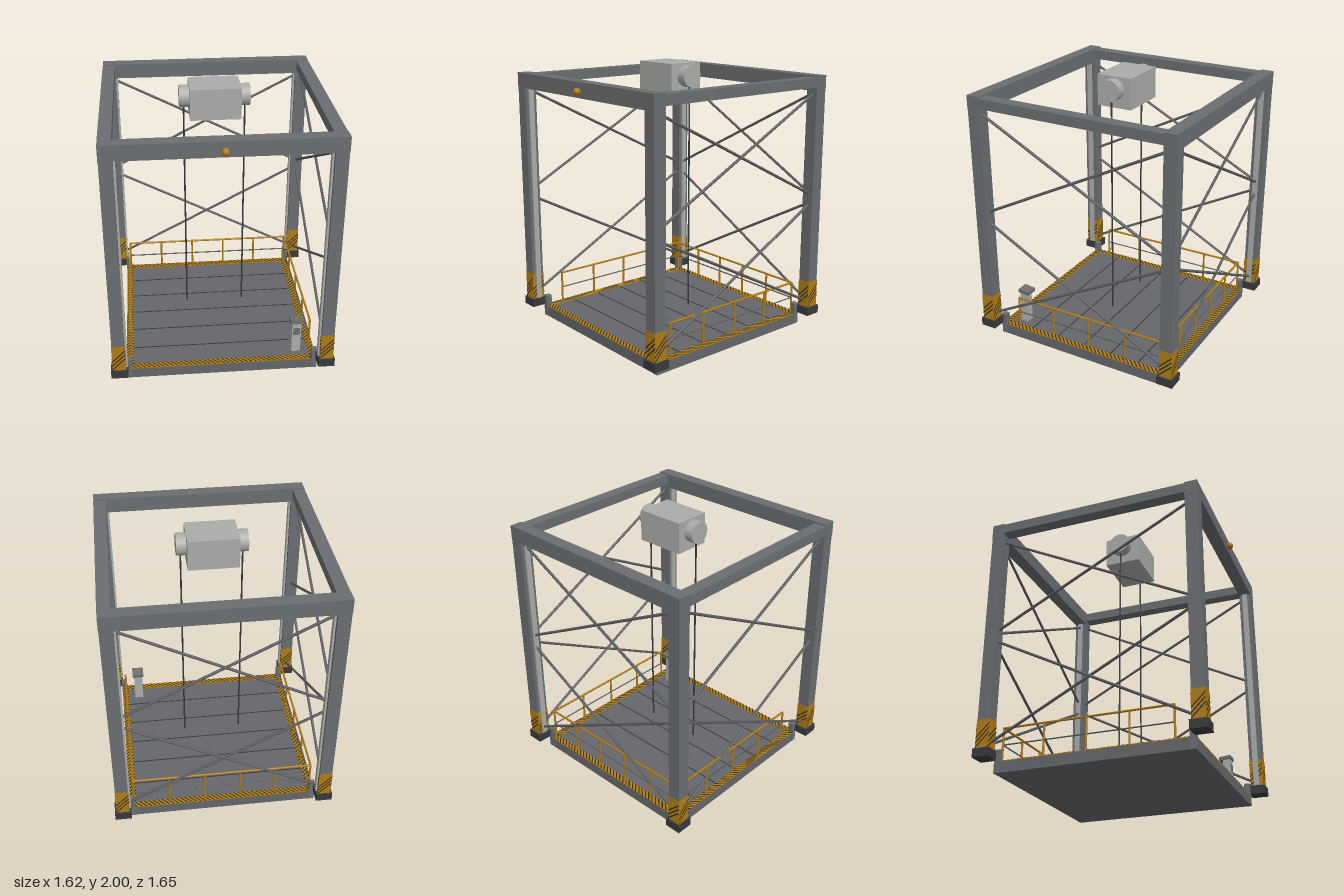
import * as THREE from 'three';

const mat = (name, color, side = THREE.FrontSide) => {
  const m = new THREE.MeshStandardMaterial({ color, side });
  m.name = name;
  return m;
};

export function createModel() {
  const steel = mat('steel grey', 0x6a6e71);
  const deckGrey = mat('deck grey', 0x64676a);
  const braceGrey = mat('brace grey', 0x5c5e63);
  const light = mat('light grey', 0xa9aca9);
  const dark = mat('dark grey', 0x37393c);
  const amber = mat('hazard amber', 0xb07c14);
  const black = mat('stripe black', 0x2c2a26, THREE.DoubleSide);

  const model = new THREE.Group();
  model.name = 'platformLift';
  const body = new THREE.Group();
  body.name = 'liftBody';
  body.position.z = -0.015; // the front lamp sticks out past the frame
  model.add(body);

  const add = (name, geo, material, x = 0, y = 0, z = 0) => {
    const m = new THREE.Mesh(geo, material);
    m.name = name;
    m.position.set(x, y, z);
    body.add(m);
    return m;
  };
  // Box given by its size and centre
  const box = (name, material, w, h, d, x, y, z) =>
    add(name, new THREE.BoxGeometry(w, h, d), material, x, y, z);

  // Round bar between two points
  const bar = (name, material, a, b, r, sides = 8) => {
    const p = new THREE.Vector3(...a), q = new THREE.Vector3(...b);
    const dir = q.clone().sub(p);
    const m = add(name, new THREE.CylinderGeometry(r, r, dir.length(), sides), material);
    m.position.copy(p).add(q).multiplyScalar(0.5);
    m.quaternion.setFromUnitVectors(new THREE.Vector3(0, 1, 0), dir.normalize());
    return m;
  };

  // Diagonal hazard stripes on a flat strip, length along y
  const stripes = (width, length) => {
    const shapes = [], pitch = 0.034, t = 0.012, w = width / 2;
    for (let y = -length / 2; y + width + t <= length / 2; y += pitch) {
      shapes.push(new THREE.Shape([
        new THREE.Vector2(-w, y), new THREE.Vector2(w, y + width),
        new THREE.Vector2(w, y + width + t), new THREE.Vector2(-w, y + t),
      ]));
    }
    return new THREE.ShapeGeometry(shapes);
  };

  // Columns with feet, painted sleeves and guide rails
  const C = 0.75;
  const sleeveStripes = stripes(0.096, 0.2);
  for (const sx of [-1, 1]) {
    for (const sz of [-1, 1]) {
      const x = sx * C, z = sz * C;
      box('column', steel, 0.092, 1.77, 0.092, x, 1.025, z);
      box('columnFoot', dark, 0.12, 0.062, 0.12, x, 0.121, z);
      box('columnSleeve', amber, 0.096, 0.205, 0.096, x, 0.2545, z);
      box('guideRail', light, 0.016, 1.65, 0.04, sx * 0.698, 0.98, z);
      for (let k = 0; k < 4; k++) {
        const a = k * Math.PI / 2;
        const s = add('sleeveStripes', sleeveStripes, black,
          x + Math.sin(a) * 0.0495, 0.2545, z + Math.cos(a) * 0.0495);
        s.rotation.y = a;
      }
    }
  }

  // Top beams
  for (const s of [-1, 1]) {
    box('crossBeam', steel, 1.596, 0.11, 0.094, 0, 1.855, s * C);
    box('sideBeam', steel, 0.09, 0.072, 1.41, s * 0.755, 1.864, 0);
  }

  // Crossed bracing on the back and both sides
  for (const [yc, h] of [[1.406, 0.386], [0.575, 0.395]]) {
    for (const s of [-1, 1]) {
      bar('backBrace', braceGrey, [-C, yc - s * h, -C], [C, yc + s * h, -C], 0.01);
      for (const sx of [-1, 1]) {
        bar('sideBrace', braceGrey, [sx * C, yc - s * h, -C], [sx * C, yc + s * h, C], 0.01);
      }
    }
  }

  // Platform deck with plank seams and corner guide blocks
  box('platform', deckGrey, 1.4, 0.078, 1.4, 0, 0.039, 0);
  for (let i = -2; i <= 2; i++) {
    box('plankSeam', dark, 1.3, 0.003, 0.008, 0, 0.079, i * 0.228);
  }
  for (const sx of [-1, 1]) {
    for (const sz of [-1, 1]) {
      box('cornerBlock', steel, 0.042, 0.164, 0.042, sx * 0.681, 0.082, sz * 0.681);
    }
  }

  // Painted border around the deck
  const borderStripes = stripes(0.052, 1.4);
  for (let k = 0; k < 4; k++) {
    const a = k * Math.PI / 2;
    const x = Math.sin(a) * 0.674, z = Math.cos(a) * 0.674;
    const along = k % 2 === 0;
    box('deckBorder', amber, along ? 1.4 : 0.052, 0.006, along ? 0.052 : 1.4, x, 0.081, z);
    const s = add('borderStripes', borderStripes, black, x, 0.0855, z);
    s.rotation.set(-Math.PI / 2, 0, along ? Math.PI / 2 : 0);
  }

  // Guard rails on the back and sides, front left open
  const R = 0.664, front = 0.555;
  const railing = (a, b, posts) => {
    bar('topRail', amber, [a[0], 0.325, a[1]], [b[0], 0.325, b[1]], 0.008);
    bar('midRail', braceGrey, [a[0], 0.205, a[1]], [b[0], 0.205, b[1]], 0.005, 6);
    for (let i = 0; i < posts; i++) {
      const t = i / (posts - 1);
      const x = a[0] + (b[0] - a[0]) * t, z = a[1] + (b[1] - a[1]) * t;
      bar('railPost', amber, [x, 0.08, z], [x, 0.328, z], 0.008);
    }
  };
  railing([-R, -R], [R, -R], 6);
  for (const s of [-1, 1]) railing([s * R, -R], [s * R, front], 5);

  // Control pedestal with sloped head and button
  box('controlPedestal', light, 0.068, 0.25, 0.056, 0.56, 0.203, 0.57);
  box('controlPanel', steel, 0.05, 0.06, 0.004, 0.56, 0.26, 0.599);
  const head = box('controlHead', steel, 0.09, 0.026, 0.09, 0.56, 0.338, 0.56);
  head.rotation.x = -0.1;
  add('controlButton', new THREE.CylinderGeometry(0.01, 0.01, 0.012, 16), amber, 0.56, 0.354, 0.565);

  // Hoist motor, drums and cables
  box('hoistHousing', light, 0.36, 0.225, 0.268, 0, 1.8875, 0);
  for (const s of [-1, 1]) {
    const drum = add('hoistDrum', new THREE.CylinderGeometry(0.078, 0.078, 0.08, 32), light, s * 0.21, 1.91, 0);
    drum.rotation.z = Math.PI / 2;
    bar('hoistCable', dark, [s * 0.218, 0.18, 0], [s * 0.218, 1.88, 0], 0.006);
  }

  // Warning lamp on the front beam
  add('warningLamp', new THREE.SphereGeometry(0.026, 20, 14), amber, 0, 1.845, 0.813);

  return model;
}
